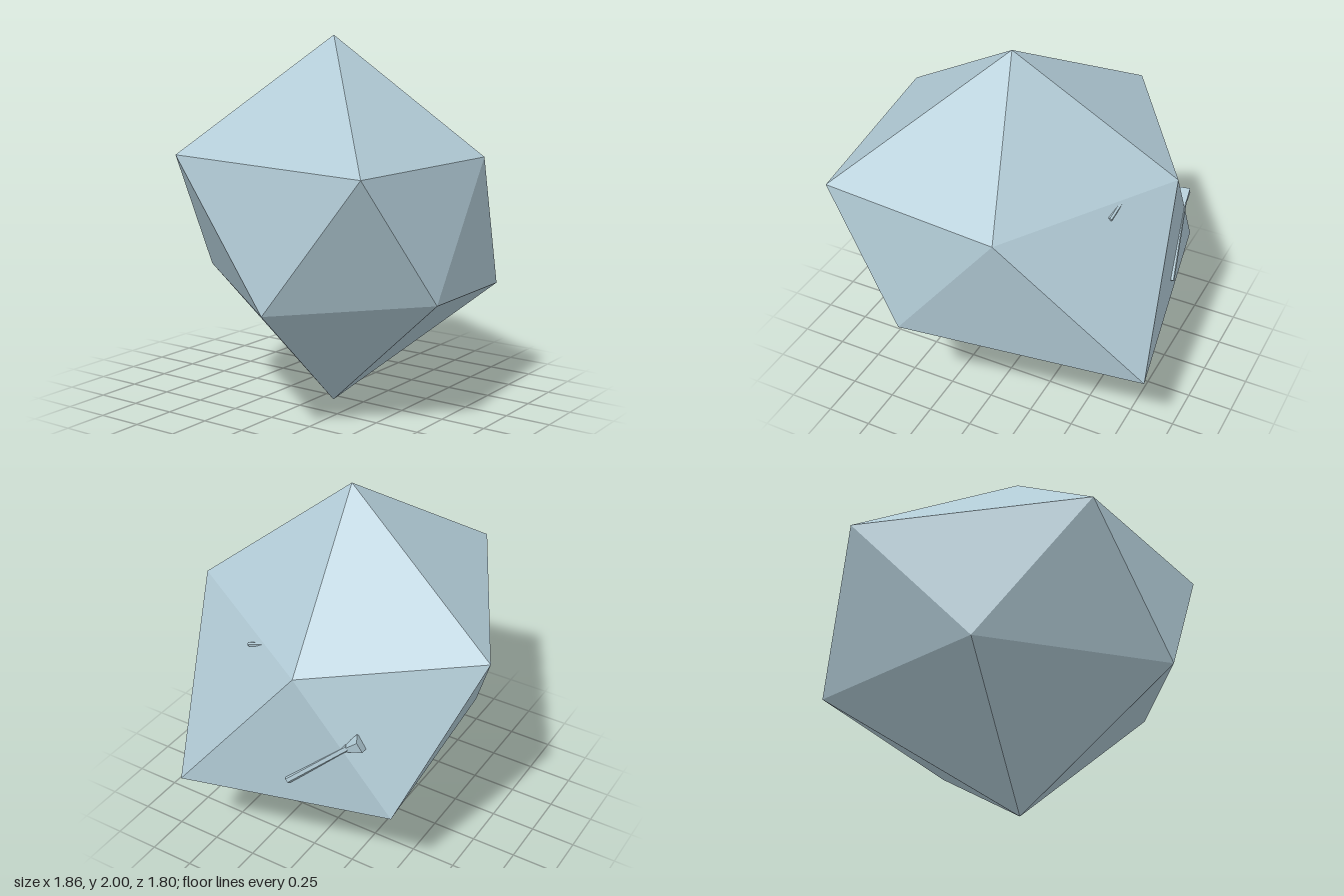
import * as THREE from 'three';

const paleBlue = new THREE.MeshStandardMaterial({ color: 0xb0c9d4, flatShading: true });
paleBlue.name = 'pale blue';

// Irregular gem: two poles and two staggered rings of five corners
function gemGeometry() {
  const top = [-0.06, 2, 0.09];
  const bottom = [-0.06, 0, 0.09];
  const upper = [[0.8, 1.36, -0.1], [0.22, 1.38, 0.85], [-0.79, 1.37, 0.76], [-0.88, 1.42, -0.3], [0.26, 1.42, -0.9]];
  const lower = [[0.93, 0.54, 0.56], [-0.32, 0.7, 0.9], [-0.93, 0.68, 0.28], [-0.3, 0.73, -0.57], [0.72, 0.64, -0.62]];
  const corners = [];
  for (let i = 0; i < 5; i++) {
    const n = (i + 1) % 5;
    corners.push(top, upper[n], upper[i]);
    corners.push(upper[i], upper[n], lower[i]);
    corners.push(upper[n], lower[n], lower[i]);
    corners.push(lower[i], lower[n], bottom);
  }
  const geometry = new THREE.BufferGeometry();
  geometry.setAttribute('position', new THREE.Float32BufferAttribute(corners.flat(), 3));
  geometry.computeVertexNormals();
  return geometry;
}

// Faceted bar between two points, with its own radius at each end
function bar(name, from, to, rFrom, rTo, sides) {
  const a = new THREE.Vector3(...from);
  const b = new THREE.Vector3(...to);
  const mesh = new THREE.Mesh(new THREE.CylinderGeometry(rTo, rFrom, a.distanceTo(b), sides), paleBlue);
  mesh.name = name;
  mesh.position.copy(a).add(b).multiplyScalar(0.5);
  mesh.quaternion.setFromUnitVectors(new THREE.Vector3(0, 1, 0), b.sub(a).normalize());
  return mesh;
}

export function createModel() {
  const model = new THREE.Group();
  model.name = 'facetedGem';

  const gem = new THREE.Mesh(gemGeometry(), paleBlue);
  gem.name = 'gemBody';
  model.add(gem);

  // Thin pin lying against the side, with a flared head
  const pin = new THREE.Group();
  pin.name = 'sidePin';
  pin.add(bar('pinShaft', [0.816, 0.725, -0.062], [0.742, 1.02, -0.38], 0.02, 0.02, 6));
  pin.add(bar('pinHead', [0.742, 1.01, -0.375], [0.715, 1.05, -0.44], 0.022, 0.05, 5));
  model.add(pin);

  // Tip of a second pin, mostly sunk into the body
  model.add(bar('sunkenPinTip', [0.597, 1.308, 0.305], [0.612, 1.355, 0.19], 0.012, 0.012, 6));
  return model;
}
